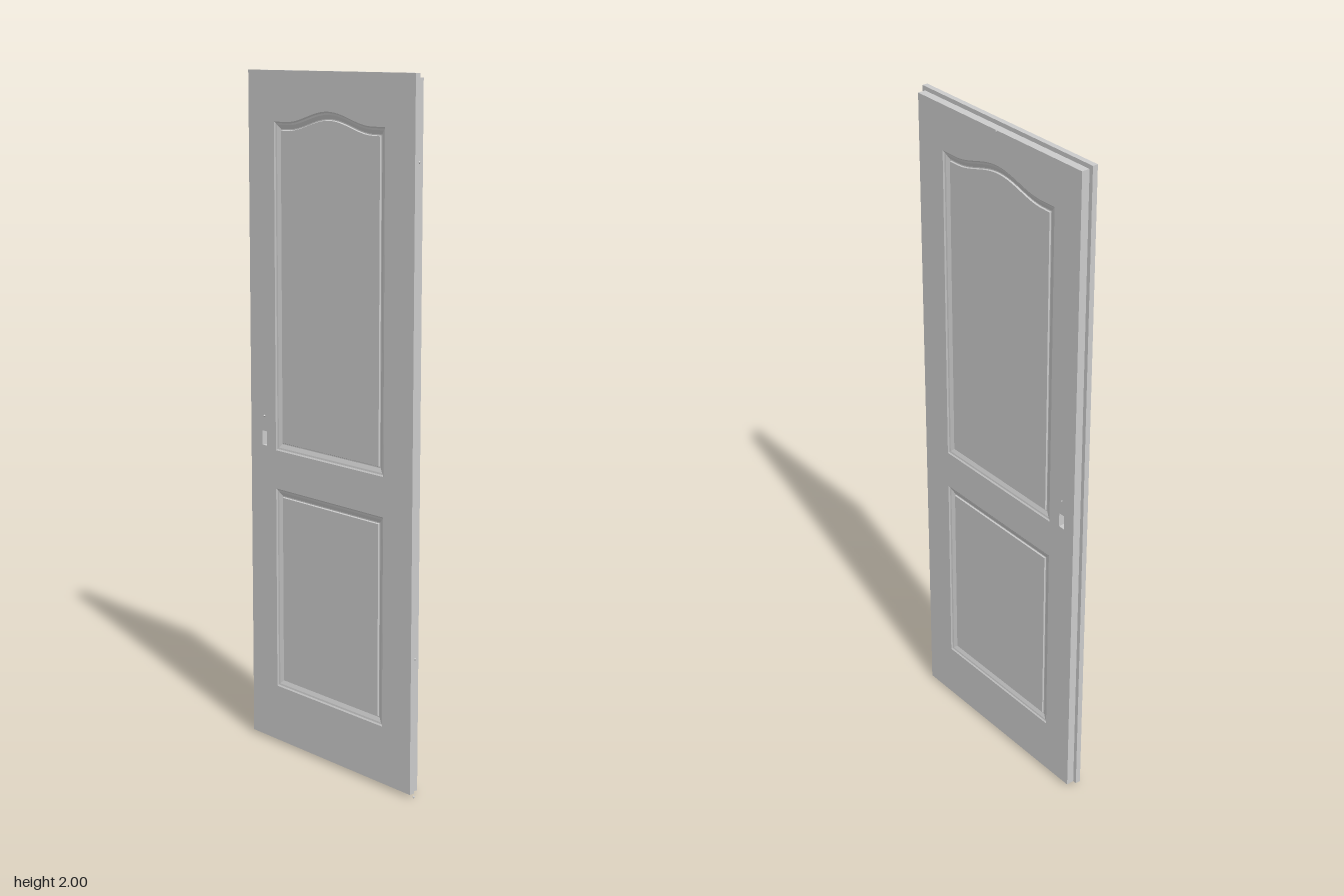
import * as THREE from 'three';

const material = new THREE.MeshStandardMaterial({ color: 0xcccccc, side: THREE.DoubleSide });
const CX = -0.009; // centre line of the panels
const FRONT = 0.018, BACK = -0.022;
const PANELS = [
  { name: 'upperPanel', half: 0.231, bottom: 0.905, top: 1.857, arch: 0.034 },
  { name: 'lowerPanel', half: 0.231, bottom: 0.18, top: 0.79, arch: 0 },
];
// Moulding section: [inset from the outline, depth below the door face]
const SECTION = [[0, 0], [0.004, 0.003], [0.009, 0.004], [0.02, 0.009], [0.023, 0.009], [0.025, 0.005]];

// Counter-clockwise panel outline around x = 0, with an optional arched top
function outline({ half, bottom, top, arch }, inset) {
  const w = half - inset, pts = [[-w, bottom + inset], [w, bottom + inset]];
  const steps = arch ? 32 : 1;
  for (let i = 0; i <= steps; i++) {
    const x = w - (2 * w * i) / steps;
    const u = Math.min(Math.abs(x) / 0.18, 1);
    pts.push([x, top - inset + arch * 0.5 * (1 + Math.cos(Math.PI * u))]);
  }
  return pts.map(([x, y]) => new THREE.Vector2(x, y));
}

function rectPath(x0, x1, y0, y1) {
  return [[x0, y0], [x1, y0], [x1, y1], [x0, y1]].map(([x, y]) => new THREE.Vector2(x, y));
}

// Door leaf layer with panel openings and the lock cut-out
function slab(name, x0, x1, y0, y1, z0, z1) {
  const shape = new THREE.Shape(rectPath(x0, x1, y0, y1));
  for (const p of PANELS) {
    shape.holes.push(new THREE.Path(outline(p, 0).map((v) => v.setX(v.x + CX))));
  }
  shape.holes.push(new THREE.Path(rectPath(-0.301, -0.281, 0.912, 0.955)));
  const geometry = new THREE.ExtrudeGeometry(shape, { depth: z1 - z0, bevelEnabled: false });
  geometry.translate(0, 0, z0);
  const mesh = new THREE.Mesh(geometry, material);
  mesh.name = name;
  return mesh;
}

// Sunken moulding lofted through inset outlines, closed by a flat field
function panel(p) {
  const group = new THREE.Group();
  const positions = [];
  const rings = SECTION.map(([inset, depth]) =>
    outline(p, inset).map((v) => [v.x, v.y, -depth]));
  for (let r = 0; r < rings.length - 1; r++) {
    const a = rings[r], b = rings[r + 1];
    for (let i = 0; i < a.length; i++) {
      const j = (i + 1) % a.length;
      positions.push(...a[i], ...a[j], ...b[j], ...a[i], ...b[j], ...b[i]);
    }
  }
  const geometry = new THREE.BufferGeometry();
  geometry.setAttribute('position', new THREE.Float32BufferAttribute(positions, 3));
  geometry.computeVertexNormals();
  const moulding = new THREE.Mesh(geometry, material);
  moulding.name = 'moulding';

  const [inset, depth] = SECTION[SECTION.length - 1];
  const field = new THREE.Mesh(new THREE.ShapeGeometry(new THREE.Shape(outline(p, inset))), material);
  field.name = 'panelField';
  field.position.z = -depth;
  group.add(moulding, field);
  return group;
}

export function createModel() {
  const door = new THREE.Group();
  door.name = 'door';

  // Wider front layer and rebated back layer
  door.add(slab('frontLeaf', -0.353, 0.338, 0.01, 2, 0.002, FRONT));
  door.add(slab('backLeaf', -0.341, 0.326, 0.01, 1.988, BACK, 0.002));

  // Panels on both faces
  for (const p of PANELS) {
    const front = panel(p);
    front.name = p.name + 'Front';
    front.position.set(CX, 0, FRONT);
    const back = panel(p);
    back.name = p.name + 'Back';
    back.rotation.y = Math.PI;
    back.position.set(CX, 0, BACK);
    door.add(front, back);
  }

  // Tiny studs at the hinge, handle and top fixing points
  const studGeometry = new THREE.OctahedronGeometry(0.0045);
  const studs = {
    hingeStud: [[0.347, 1.77, 0.011], [0.347, 0.41, 0.011], [0.347, 0.005, 0.011]],
    handleStud: [[-0.291, 1.0, 0.018], [-0.291, 1.0, -0.021]],
    topStud: [[-0.007, 1.985, -0.021]],
  };
  for (const [name, spots] of Object.entries(studs)) {
    for (const spot of spots) {
      const stud = new THREE.Mesh(studGeometry, material);
      stud.name = name;
      stud.position.set(...spot);
      door.add(stud);
    }
  }
  return door;
}
